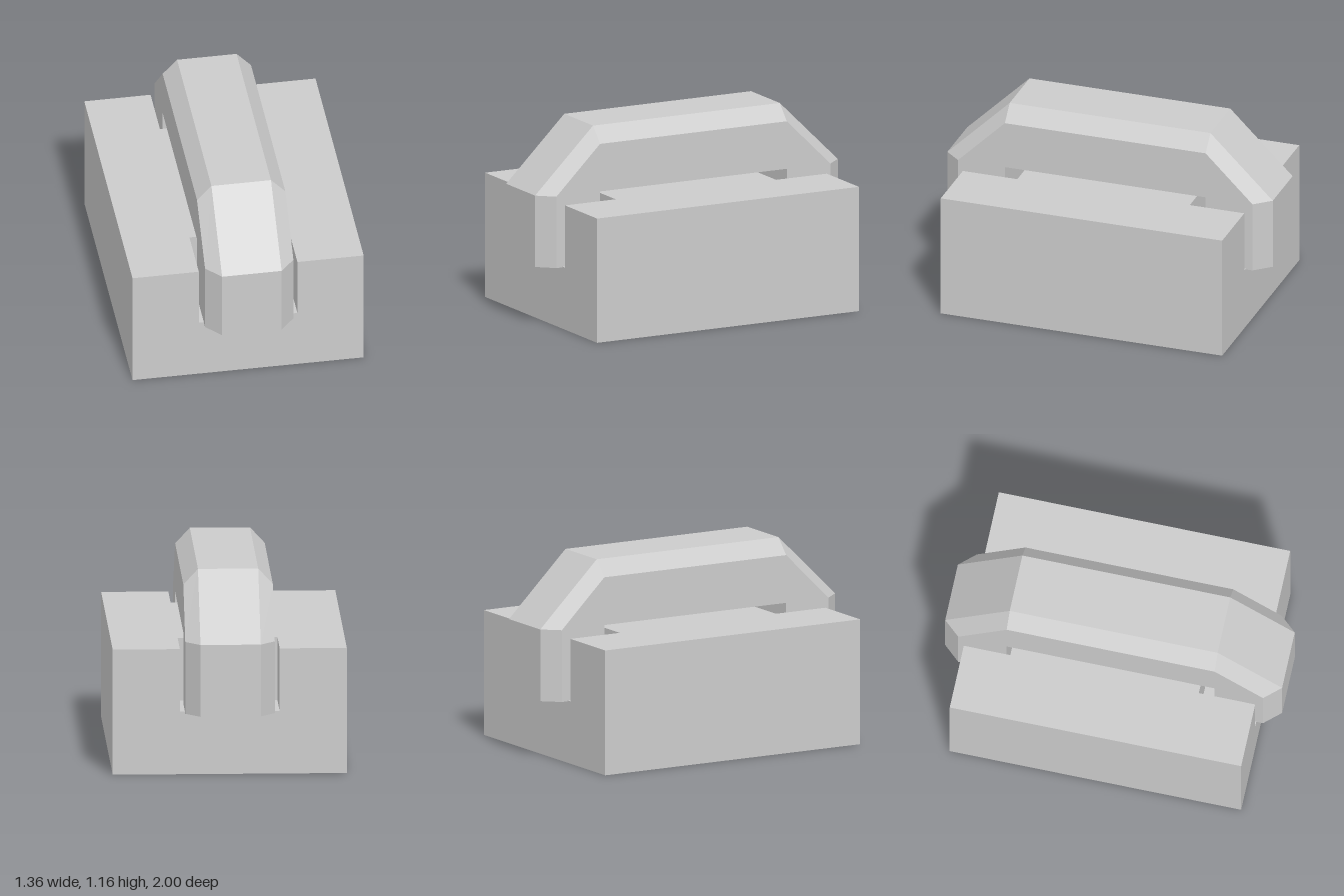
import * as THREE from 'three';
import { mergeGeometries } from 'three/addons/utils/BufferGeometryUtils.js';

const material = new THREE.MeshStandardMaterial({ color: 0xcccccc, flatShading: true });

// Block: half width, half depth, height
const W = 0.68, D = 0.865, H = 0.74;
// End notches: half width, floor height, inner z
const NW = 0.29, NY = 0.37, NZ = 0.53;

function polygon(points) {
  return new THREE.ShapeGeometry(new THREE.Shape(points.map(([x, y]) => new THREE.Vector2(x, y))));
}

function panel(w, h, rx, ry, x, y, z) {
  return new THREE.PlaneGeometry(w, h).rotateX(rx).rotateY(ry).translate(x, y, z);
}

// Block with a notch in the middle of each end
function createBase() {
  const q = Math.PI / 2;
  const top = polygon([
    [-W, -D], [-NW, -D], [-NW, -NZ], [NW, -NZ], [NW, -D], [W, -D],
    [W, D], [NW, D], [NW, NZ], [-NW, NZ], [-NW, D], [-W, D],
  ]).rotateX(-q).translate(0, H, 0);
  const parts = [top, panel(2 * W, 2 * D, q, 0, 0, 0, 0)];
  for (const s of [1, -1]) {
    // Long side wall
    parts.push(panel(2 * D, H, 0, s * q, s * W, H / 2, 0));
    // End wall and its notch, turned to the front or back
    const end = [
      polygon([[-W, 0], [W, 0], [W, H], [NW, H], [NW, NY], [-NW, NY], [-NW, H], [-W, H]]).translate(0, 0, D),
      panel(2 * NW, D - NZ, -q, 0, 0, NY, (D + NZ) / 2),
      panel(2 * NW, H - NY, 0, 0, 0, (H + NY) / 2, NZ),
      panel(D - NZ, H - NY, 0, -q, NW, (H + NY) / 2, (D + NZ) / 2),
      panel(D - NZ, H - NY, 0, q, -NW, (H + NY) / 2, (D + NZ) / 2),
    ];
    for (const g of end) parts.push(s > 0 ? g : g.rotateY(Math.PI));
  }
  return mergeGeometries(parts);
}

// Bridge-shaped handle: chamfered section carried up, over and down
function createHandle() {
  const wide = 0.26, narrow = 0.175;
  // Each station: [z, y] of the inner edge, the side edge and the outer edge
  const half = [
    [[0.617, 0.365], [0.905, 0.365], [1, 0.365]],
    [[0.617, 0.79], [0.905, 0.79], [1, 0.79]],
    [[0.617, 0.79], [0.617, 1.073], [0.617, 1.165]],
  ];
  const stations = [...half, ...half.slice().reverse().map(s => s.map(([z, y]) => [-z, y]))];
  const rings = stations.map(([inner, side, outer]) => [
    [-wide, inner], [-wide, side], [-narrow, outer], [narrow, outer], [wide, side], [wide, inner],
  ].map(([x, [z, y]]) => [x, y, z]));

  const positions = [];
  const n = rings[0].length;
  for (let i = 0; i < rings.length - 1; i++) {
    for (let j = 0; j < n; j++) {
      const k = (j + 1) % n;
      const a = rings[i][j], b = rings[i][k], c = rings[i + 1][k], d = rings[i + 1][j];
      // The inner corner is shared by two stations, so empty triangles are skipped
      for (const t of [[a, b, c], [a, c, d]]) {
        if (new Set(t.map(String)).size === 3) positions.push(...t.flat());
      }
    }
  }
  // Feet
  const first = rings[0], last = rings[rings.length - 1];
  for (let j = 1; j < n - 1; j++) {
    positions.push(...first[0], ...first[j + 1], ...first[j]);
    positions.push(...last[0], ...last[j], ...last[j + 1]);
  }
  const geometry = new THREE.BufferGeometry();
  geometry.setAttribute('position', new THREE.Float32BufferAttribute(positions, 3));
  geometry.computeVertexNormals();
  return geometry;
}

export function createModel() {
  const model = new THREE.Group();
  model.name = 'handledBlock';
  const base = new THREE.Mesh(createBase(), material);
  base.name = 'notchedBase';
  const handle = new THREE.Mesh(createHandle(), material);
  handle.name = 'handle';
  model.add(base, handle);
  return model;
}
